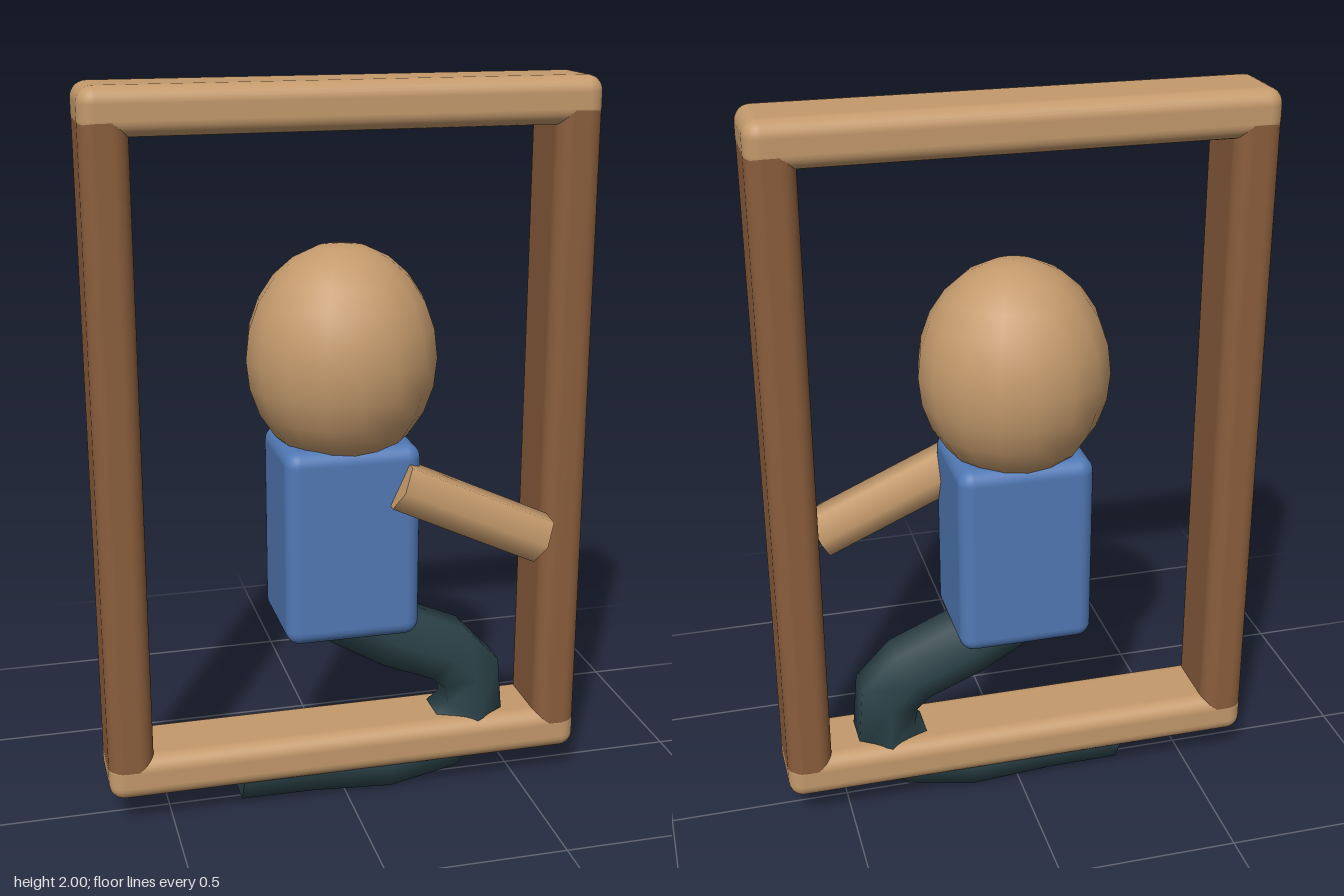
import * as THREE from 'three';
import { RoundedBoxGeometry } from 'three/addons/geometries/RoundedBoxGeometry.js';

const paint = (name, color, side = THREE.FrontSide) => {
  const m = new THREE.MeshStandardMaterial({ color, side });
  m.name = name;
  return m;
};

export function createModel() {
  const lightWood = paint('light wood', 0xc49a6c);
  const darkWood = paint('dark wood', 0x8b5e3c);
  const blue = paint('shirt blue', 0x5179b5);
  const teal = paint('dark teal', 0x2b4248, THREE.DoubleSide);

  const model = new THREE.Group();
  model.name = 'framedFigure';
  const add = (name, geometry, material, x = 0, y = 0, z = 0, parent = model) => {
    const mesh = new THREE.Mesh(geometry, material);
    mesh.name = name;
    mesh.position.set(x, y, z);
    parent.add(mesh);
    return mesh;
  };

  // Rectangular frame: two rails, two posts let into them
  const frame = new THREE.Group();
  frame.name = 'frame';
  model.add(frame);
  const rail = new RoundedBoxGeometry(1.345, 0.125, 0.23, 4, 0.042);
  add('topRail', rail, lightWood, 0, 1.9375, 0, frame);
  add('bottomRail', rail, lightWood, 0, 0.15, 0, frame);
  const post = new RoundedBoxGeometry(0.124, 1.87, 0.229, 4, 0.042);
  for (const [name, s] of [['leftPost', 1], ['rightPost', -1]]) {
    add(name, post, darkWood, s * 0.61, 1.044, 0, frame);
  }

  // Head and torso
  const head = add('head', new THREE.SphereGeometry(1, 16, 12), lightWood, 0, 1.28, 0);
  head.scale.set(0.257, 0.3, 0.247);
  add('torso', new RoundedBoxGeometry(0.37, 0.545, 0.315, 4, 0.04), blue, 0, 0.7875, 0);

  // Six-sided arm reaching towards the left post
  const shoulder = new THREE.Vector3(0.122, 0.957, 0.15);
  const hand = new THREE.Vector3(0.518, 0.775, 0.165);
  const reach = hand.clone().sub(shoulder);
  const arm = add('arm', new THREE.CylinderGeometry(0.071, 0.071, reach.length(), 6), lightWood);
  arm.position.copy(shoulder).add(hand).multiplyScalar(0.5);
  arm.quaternion.setFromUnitVectors(new THREE.Vector3(0, 1, 0), reach.normalize());

  // Bent leg: one six-sided ring at each path point, hip to foot
  const path = new THREE.CatmullRomCurve3([
    [0, 0.55], [0.145, 0.465], [0.305, 0.397], [0.372, 0.33], [0.385, 0.21],
    [0.29, 0.12], [0.13, 0.09], [-0.09, 0.105], [-0.3, 0.107],
  ].map(([x, y]) => new THREE.Vector3(x, y, 0)));
  path.getPointAt = path.getPoint;
  path.getTangentAt = path.getTangent;
  add('leg', new THREE.TubeGeometry(path, path.points.length - 1, 0.1, 6), teal);

  // Flat ends of the leg
  for (const [name, t, s] of [['hipEnd', 0, -1], ['footEnd', 1, 1]]) {
    const p = path.getPoint(t);
    const cap = add(name, new THREE.CircleGeometry(0.1, 6), teal, p.x, p.y, p.z);
    cap.lookAt(p.clone().addScaledVector(path.getTangent(t), s));
  }
  return model;
}
